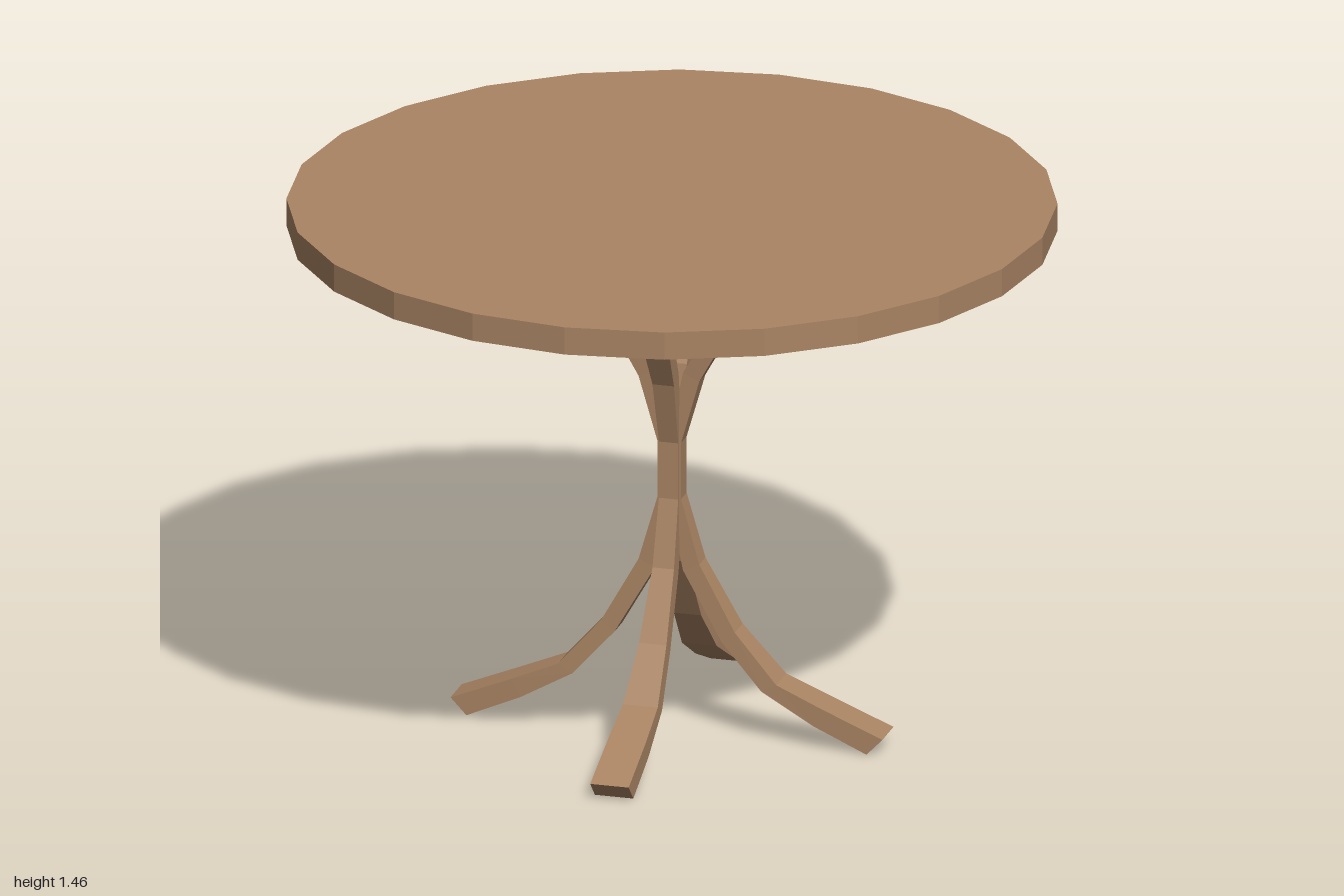
import * as THREE from 'three';

const wood = new THREE.MeshStandardMaterial({ color: 0xa98463 });
wood.name = 'wood';

// Lower half of a rib: [outer radius, y, inner radius, y, half width], foot to waist
const half = [
  [0.583, 0.045, 0.54, 0, 0.052],
  [0.42, 0.112, 0.395, 0.064, 0.051],
  [0.295, 0.165, 0.255, 0.143, 0.047],
  [0.18, 0.295, 0.145, 0.265, 0.037],
  [0.082, 0.47, 0.038, 0.45, 0.029],
  [0.032, 0.645, 0, 0.635, 0.026],
];
const HEIGHT = 1.445;

// Flat-shaded curved rib, mirrored top to bottom about the waist
function ribGeometry() {
  const upper = half.map(([ro, yo, ri, yi, w]) => [ro, HEIGHT - yo, ri, HEIGHT - yi, w]).reverse();
  const sections = [...half, ...upper];
  const pos = [];
  const idx = [];
  for (const [ro, yo, ri, yi, w] of sections) {
    pos.push(ri, yi, -w, ri, yi, w, ro, yo, w, ro, yo, -w);
  }
  for (let s = 0; s < sections.length - 1; s++) {
    for (let j = 0; j < 4; j++) {
      const a = s * 4 + j, b = s * 4 + (j + 1) % 4;
      idx.push(a, b, b + 4, a, b + 4, a + 4);
    }
  }
  // End caps
  const e = (sections.length - 1) * 4;
  idx.push(0, 2, 1, 0, 3, 2, e, e + 1, e + 2, e, e + 2, e + 3);
  const indexed = new THREE.BufferGeometry();
  indexed.setAttribute('position', new THREE.Float32BufferAttribute(pos, 3));
  indexed.setIndex(idx);
  const g = indexed.toNonIndexed();
  g.computeVertexNormals();
  return g;
}

export function createModel() {
  const table = new THREE.Group();
  table.name = 'roundTable';

  // 24-sided table top
  const topGeo = new THREE.CylinderGeometry(1, 1, 0.075, 24).toNonIndexed();
  topGeo.computeVertexNormals();
  const top = new THREE.Mesh(topGeo, wood);
  top.name = 'tableTop';
  top.position.y = 1.4175;
  table.add(top);

  // Four ribs meeting at the waist to form the pedestal
  const pedestal = new THREE.Group();
  pedestal.name = 'pedestal';
  const geo = ribGeometry();
  for (let i = 0; i < 4; i++) {
    const rib = new THREE.Mesh(geo, wood);
    rib.name = 'pedestalRib' + (i + 1);
    rib.rotation.y = i * Math.PI / 2;
    pedestal.add(rib);
  }
  table.add(pedestal);
  return table;
}
